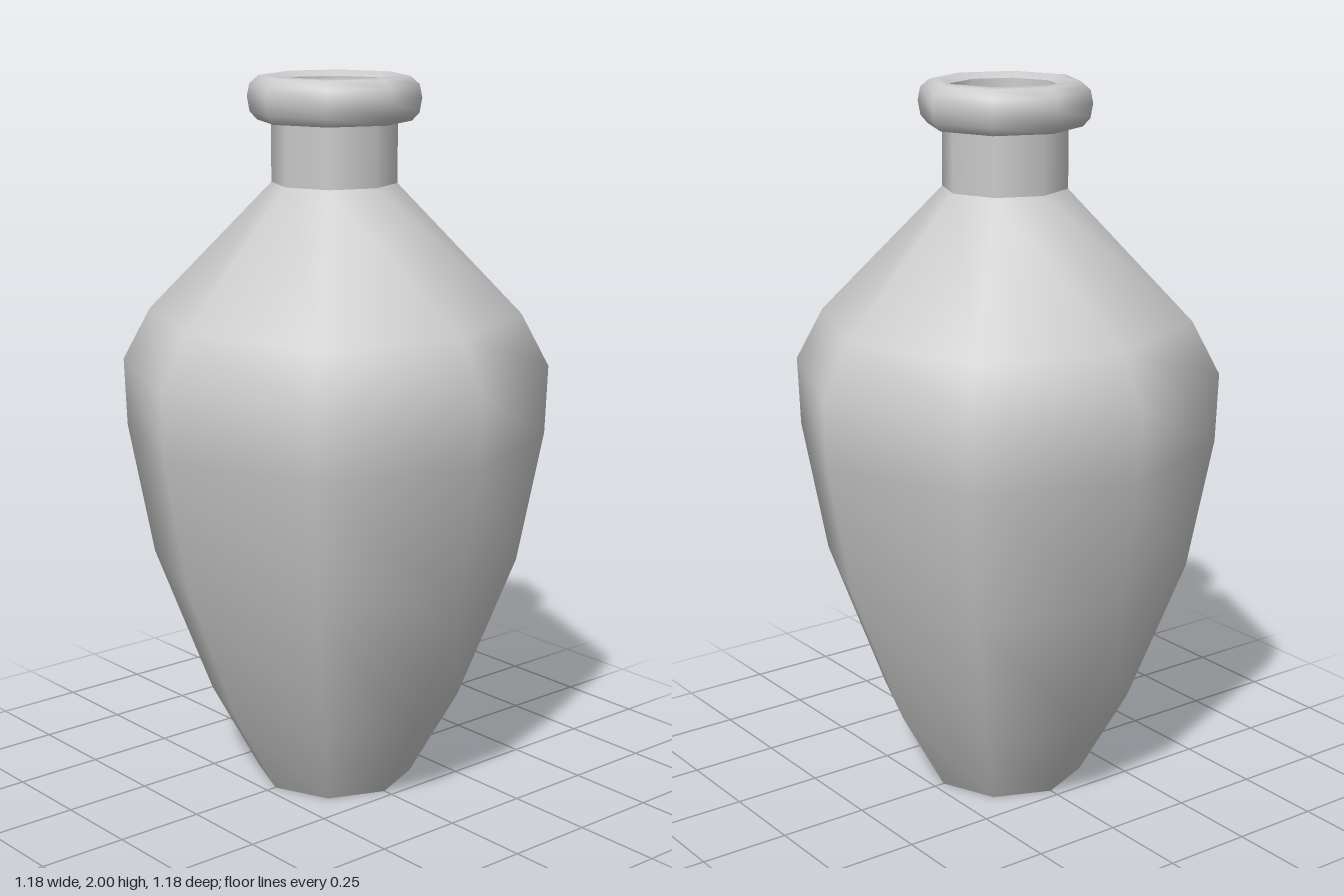
import * as THREE from 'three';

const SIDES = 8;

export function createModel() {
  const group = new THREE.Group();
  const material = new THREE.MeshStandardMaterial({ color: 0xcccccc });

  // Each part is its own lathe, so edges stay sharp between parts and smooth within them
  const turn = (name, profile) => {
    const points = profile.map(([r, y]) => new THREE.Vector2(r, y));
    const mesh = new THREE.Mesh(new THREE.LatheGeometry(points, SIDES), material);
    mesh.name = name;
    group.add(mesh);
  };

  // Flat underside
  turn('base', [[0, 0], [0.22, 0]]);

  // Tapered belly and sloping shoulder
  turn('body', [
    [0.22, 0], [0.355, 0.24], [0.515, 0.65], [0.585, 1.02],
    [0.592, 1.21], [0.515, 1.355], [0.172, 1.71],
  ]);

  // Straight neck
  turn('neck', [[0.172, 1.71], [0.172, 1.88]]);

  // Rounded lip
  turn('lip', [
    [0.172, 1.875], [0.21, 1.878], [0.23, 1.9], [0.237, 1.94],
    [0.23, 1.975], [0.205, 1.997], [0.18, 2], [0.15, 1.985],
  ]);

  // Mouth: inner wall and the floor closing it
  turn('mouthWall', [[0.15, 1.985], [0.14, 1.71]]);
  turn('mouthFloor', [[0.14, 1.71], [0, 1.71]]);

  return group;
}
